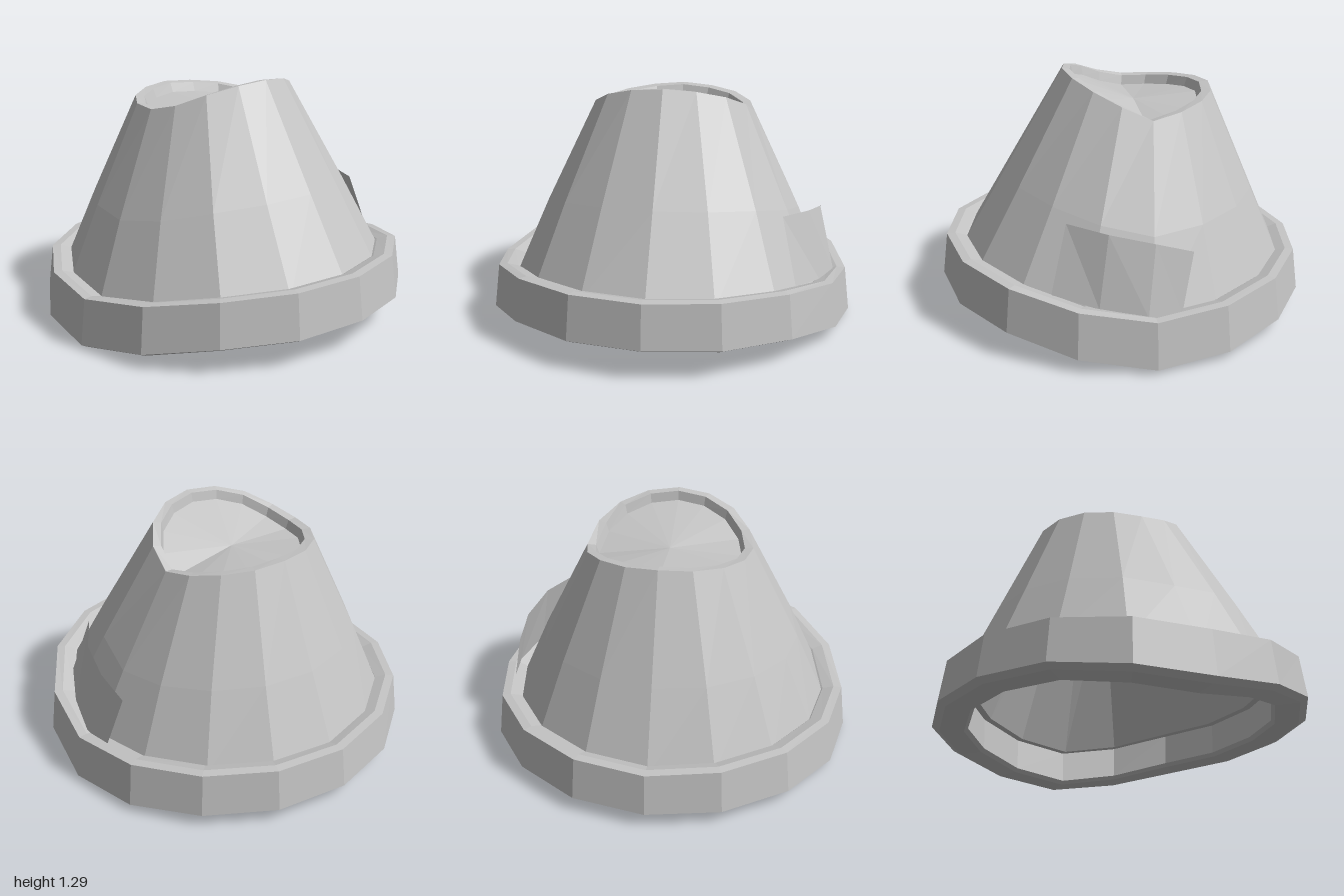
import * as THREE from 'three';

const SIDES = 16;
// Heights from front (index 0) round the left to back (index 8); short tables are mirrored
const BRIM_LOW = [0.145, 0.135, 0.12, 0.055, 0, 0.02, 0.052, 0.06, 0.062];
const BRIM_TOP = [0.395, 0.39, 0.37, 0.315, 0.265, 0.285, 0.305, 0.31, 0.305];
const LIP = [1.295, 1.28, 1.24, 1.18, 1.11, 1.14, 1.165, 1.18, 1.19,
  1.18, 1.165, 1.15, 1.145, 1.18, 1.24, 1.28];
const MID = LIP.map((y, i) => 0.43 * y + 0.57 * ((BRIM_TOP[i] ?? BRIM_TOP[SIDES - i]) - 0.06));

// One ring of points: radii, centre z, height table and offset
function ring(rx, rz, cz, heights, dy = 0) {
  return Array.from({ length: SIDES }, (_, i) => {
    const a = (i / SIDES) * Math.PI * 2;
    const y = heights[i] ?? heights[SIDES - i];
    return [Math.sin(a) * rx, y + dy, Math.cos(a) * rz + cz];
  });
}

// Skin consecutive loops of points; "closed" also joins the last loop to the first
function loft(loops, closed = false) {
  const n = loops[0].length;
  const index = [];
  const last = closed ? loops.length : loops.length - 1;
  for (let r = 0; r < last; r++) {
    const s = (r + 1) % loops.length;
    for (let i = 0; i < n; i++) {
      const j = (i + 1) % n;
      index.push(r * n + i, r * n + j, s * n + j, r * n + i, s * n + j, s * n + i);
    }
  }
  return build(loops.flat(2), index);
}

// Flat-shaded geometry from points and triangles
function build(points, index) {
  const geo = new THREE.BufferGeometry();
  geo.setAttribute('position', new THREE.Float32BufferAttribute(points, 3));
  geo.setIndex(index);
  const flat = geo.toNonIndexed();
  flat.computeVertexNormals();
  return flat;
}

export function createModel() {
  const group = new THREE.Group();
  const grey = new THREE.MeshStandardMaterial({ color: 0xc4c4c4, flatShading: true, side: THREE.DoubleSide });
  grey.name = 'light grey';
  const add = (name, geometry) => {
    const mesh = new THREE.Mesh(geometry, grey);
    mesh.name = name;
    group.add(mesh);
  };

  // Thick wavy band round the base
  add('brim', loft([
    ring(0.96, 0.96, 0, BRIM_LOW),
    ring(1, 1, 0, BRIM_LOW, 0.022),
    ring(0.97, 0.97, 0, BRIM_TOP),
    ring(0.925, 0.925, 0, BRIM_TOP, 0.003),
    ring(0.865, 0.87, 0, BRIM_TOP, -0.015),
    ring(0.78, 0.78, 0, BRIM_LOW, 0.19),
    ring(0.82, 0.82, 0, BRIM_LOW, 0.19),
    ring(0.81, 0.81, 0, BRIM_LOW, 0.018),
    ring(0.83, 0.83, 0, BRIM_LOW),
  ], true));

  // Hollow cone with a saddle-shaped lip
  add('crown', loft([
    ring(0.875, 0.89, -0.005, BRIM_TOP, -0.06),
    ring(0.7, 0.679, -0.04, MID),
    ring(0.44, 0.4, -0.085, LIP),
    ring(0.395, 0.355, -0.08, LIP, -0.005),
    ring(0.38, 0.34, -0.075, LIP, -0.055),
    ring(0.78, 0.78, 0, BRIM_LOW, 0.19),
  ]));

  // Sunken panel closing the top
  add('topPanel', loft([
    ring(0.38, 0.34, -0.075, LIP, -0.055),
    ring(0, 0, -0.07, Array(SIDES).fill(1.11)),
  ]));

  // Curved patch standing off the left side: upper and lower edge from front to back
  const high = [[0.63, 0.67, 0.39], [0.76, 0.65, 0.2], [0.82, 0.61, -0.02], [0.82, 0.555, -0.21]];
  const low = [[0.71, 0.33, 0.48], [0.83, 0.29, 0.26], [0.905, 0.26, 0.03], [0.89, 0.26, -0.14]];
  const faces = [0, 1, 2].flatMap((i) => [i, i + 4, i + 5, i, i + 5, i + 1]);
  add('sidePatch', build([...high, ...low].flat(), faces));

  return group;
}
